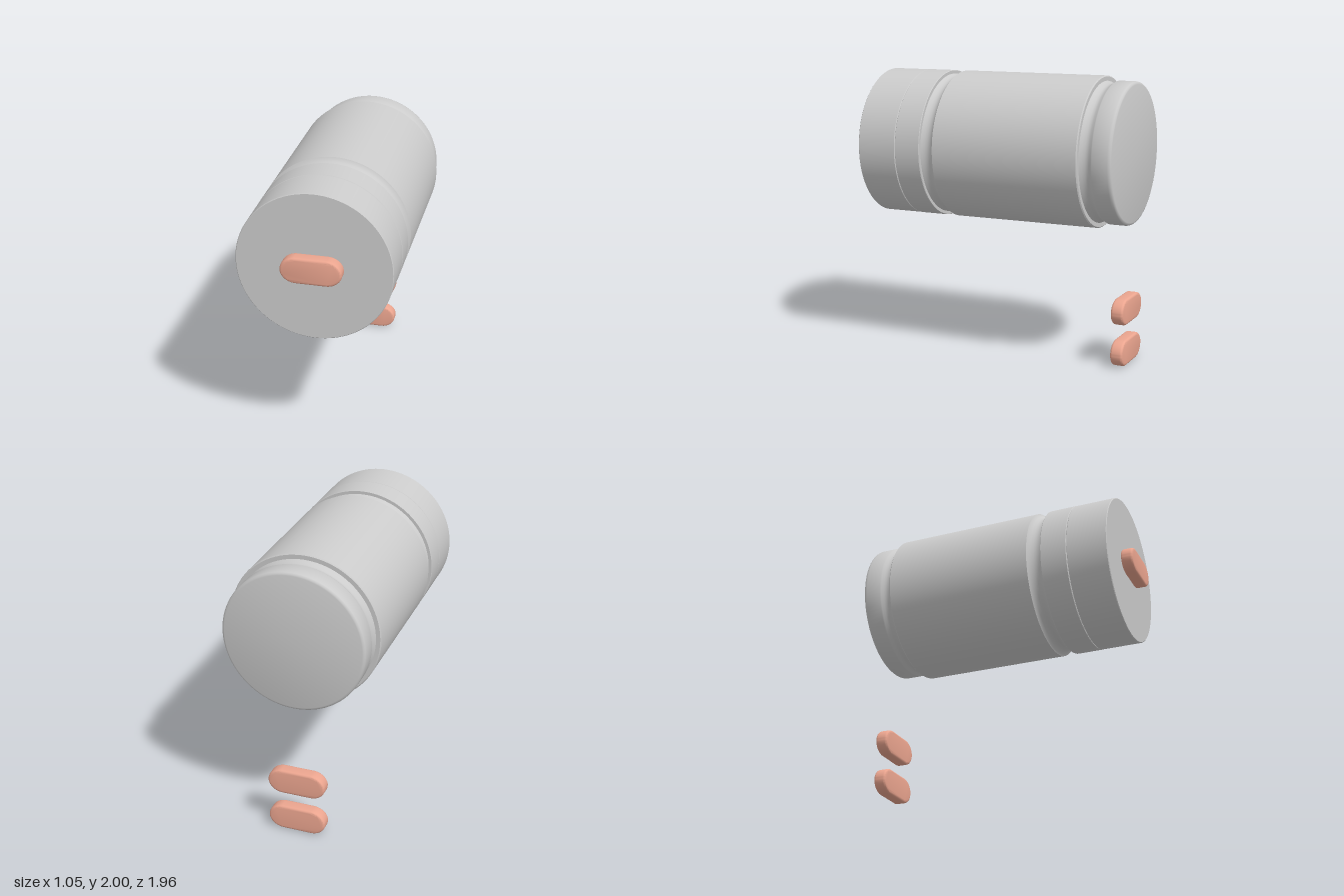
import * as THREE from 'three';
import { toCreasedNormals } from 'three/addons/utils/BufferGeometryUtils.js';

const AXIS_Y = 1.475;
const grey = new THREE.MeshStandardMaterial({ color: 0xcccccc });
const salmon = new THREE.MeshStandardMaterial({ color: 0xeba58f });

// Turned part lying along z; profile is [radius, z] from back to front
function turned(name, profile) {
  const points = profile.map(([r, z]) => new THREE.Vector2(r, z));
  const geometry = toCreasedNormals(new THREE.LatheGeometry(points, 96), 0.6);
  const mesh = new THREE.Mesh(geometry, grey);
  mesh.name = name;
  mesh.rotation.x = Math.PI / 2;
  mesh.position.y = AXIS_Y;
  return mesh;
}

// Lozenge with elliptical ends and bevelled rims
function lozengeGeometry() {
  const flat = 0.1, rx = 0.105, ry = 0.092, bevel = 0.018, depth = 0.09;
  const shape = new THREE.Shape();
  shape.moveTo(-flat, -ry);
  shape.lineTo(flat, -ry);
  shape.absellipse(flat, 0, rx, ry, -Math.PI / 2, Math.PI / 2);
  shape.lineTo(-flat, ry);
  shape.absellipse(-flat, 0, rx, ry, Math.PI / 2, Math.PI * 1.5);
  const geometry = new THREE.ExtrudeGeometry(shape, {
    depth: depth - 2 * bevel, curveSegments: 20,
    bevelSize: bevel, bevelOffset: -bevel, bevelThickness: bevel, bevelSegments: 4,
  });
  geometry.translate(0, 0, bevel - depth / 2);
  return toCreasedNormals(geometry, 0.7);
}

export function createModel() {
  const model = new THREE.Group();
  model.name = 'bottleWithLozenges';

  // Base foot, rear groove, barrel, front groove and collar
  model.add(turned('bottleBody', [
    [0, -0.98], [0.472, -0.98], [0.482, -0.977], [0.49, -0.968], [0.493, -0.955],
    [0.493, -0.85], [0.488, -0.84], [0.478, -0.825], [0.473, -0.81], [0.473, -0.795],
    [0.479, -0.775], [0.489, -0.757], [0.518, -0.757], [0.525, -0.75],
    [0.525, 0.31], [0.514, 0.316], [0.499, 0.33], [0.489, 0.35], [0.486, 0.367],
    [0.488, 0.385], [0.494, 0.4], [0.5, 0.412], [0.522, 0.412], [0.525, 0.416],
    [0.525, 0.6], [0.52, 0.604], [0, 0.604],
  ]));

  // Flat-faced lid
  model.add(turned('lid', [
    [0, 0.606], [0.519, 0.606], [0.524, 0.61], [0.524, 0.892], [0.519, 0.897], [0, 0.897],
  ]));

  // One lozenge on the lid, two stacked below the base end
  const geometry = lozengeGeometry();
  const places = [
    ['lidLozenge', 1.482, 0.935],
    ['upperLozenge', 0.385, -0.935],
    ['lowerLozenge', 0.092, -0.935],
  ];
  for (const [name, y, z] of places) {
    const lozenge = new THREE.Mesh(geometry, salmon);
    lozenge.name = name;
    lozenge.position.set(-0.003, y, z);
    model.add(lozenge);
  }
  return model;
}
